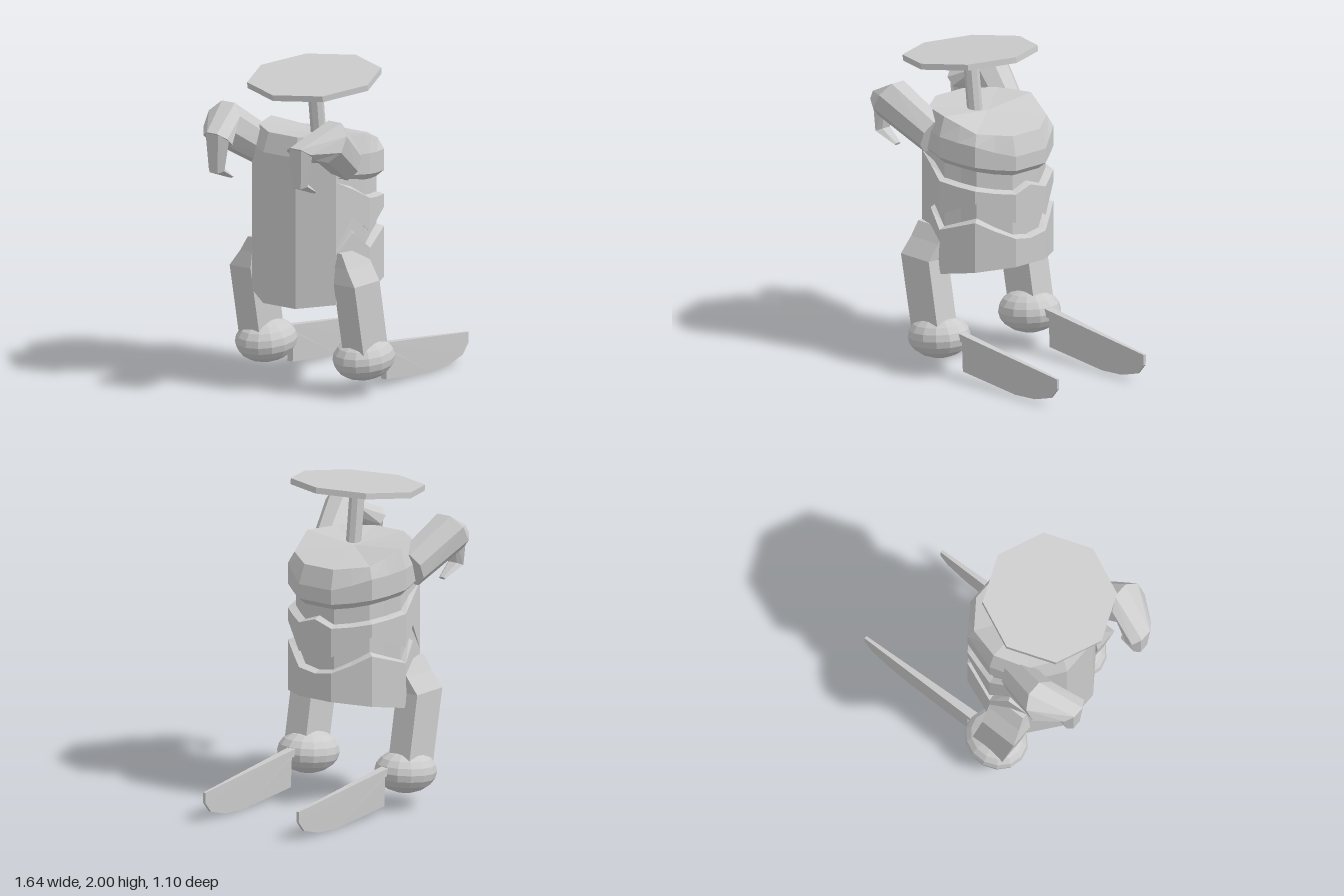
import * as THREE from 'three';

const material = new THREE.MeshStandardMaterial({ color: 0xcccccc, flatShading: true, side: THREE.DoubleSide });
const V = (x, y, z) => new THREE.Vector3(x, y, z);

// Closed skin through rings of equal point count, with capped ends
function loft(rings) {
  const pos = [];
  const tri = (...pts) => pts.forEach((p) => pos.push(p.x, p.y, p.z));
  const n = rings[0].length;
  const centre = (r) => r.reduce((a, p) => a.add(p), V(0, 0, 0)).divideScalar(n);
  const first = rings[0], last = rings[rings.length - 1];
  const c0 = centre(first), c1 = centre(last);
  for (let j = 0; j < n; j++) {
    const k = (j + 1) % n;
    for (let i = 0; i < rings.length - 1; i++) {
      const a = rings[i], b = rings[i + 1];
      tri(a[j], b[j], a[k]);
      tri(a[k], b[j], b[k]);
    }
    tri(c0, first[j], first[k]);
    tri(c1, last[k], last[j]);
  }
  const g = new THREE.BufferGeometry();
  g.setAttribute('position', new THREE.Float32BufferAttribute(pos, 3));
  g.computeVertexNormals();
  return g;
}

// Elliptical ring: centre, tilt in the xy plane (degrees), in-plane radius, z radius
function ring([x, y, z, tilt, ru, rv], n) {
  const a = THREE.MathUtils.degToRad(tilt);
  return Array.from({ length: n }, (_, j) => {
    const t = ((j + 0.5) / n) * Math.PI * 2;
    const u = Math.cos(t) * ru;
    return V(x + Math.cos(a) * u, y + Math.sin(a) * u, z + Math.sin(t) * rv);
  });
}

// Reflects a geometry across z and keeps its faces outward
function mirrorZ(geo) {
  const g = geo.index ? geo.toNonIndexed() : geo.clone();
  const p = g.attributes.position;
  const pts = Array.from({ length: p.count }, (_, i) => V(p.getX(i), p.getY(i), -p.getZ(i)));
  for (let i = 0; i < p.count; i++) {
    const q = pts[i - (i % 3) + [0, 2, 1][i % 3]];
    p.setXYZ(i, q.x, q.y, q.z);
  }
  g.computeVertexNormals();
  return g;
}

// Ten-sided torso; each row lists heights (and radii) from the front column round to the back
function torsoGeometry() {
  const at = (list, c) => list[Math.min(c, list.length - 1)];
  const belly = [0.86, 0.88, 0.93, 0.99, 0.95, 0.91, 1.02, 0.9];
  const ribLow = [1.06, 0.98, 1.045, 1.11, 1.06, 1.01, 1.12, 0.94];
  const ribHigh = [1.2, 1.16, 1.17, 1.19, 1.2, 1.22, 1.29, 1.35];
  const chestLow = [1.27, 1.27, 1.28, 1.3, 1.31, 1.33, 1.35, 1.375];
  const groove = [0.88, 0.88, 0.88, 0.88, 0.88, 0.9, 0.93, 1];
  const full = [1];
  const up = (list, d) => list.map((y) => y + d);
  const rows = [
    [null, full],
    [belly, full],
    [up(belly, 0.015), groove],
    [up(ribLow, 0.02), groove],
    [ribLow, full],
    [ribHigh, full],
    [up(ribHigh, 0.015), groove],
    [chestLow, groove],
    [[1.31, 1.31, 1.32, 1.34, 1.35, 1.37, 1.38, 1.39], full],
    [[1.4, 1.4, 1.43, 1.47, 1.48, 1.5], full],
    [[1.52, 1.52, 1.53, 1.54, 1.58, 1.62], [0.9]],
  ];
  return loft(rows.map(([ys, rs]) => Array.from({ length: 20 }, (_, j) => {
    const c = j <= 10 ? j : 20 - j;
    const r = 0.4 * at(rs, c) * (c % 2 ? 1 : Math.cos(Math.PI / 10));
    const t = (j * Math.PI) / 10;
    const x = -0.19 + r * Math.cos(t);
    return V(x, ys ? at(ys, c) : 0.56 + (x + 0.57) * 0.185, r * Math.sin(t));
  })));
}

// Leg: square sections leaning back, with a sloped outer shoulder at the top
function legGeometry() {
  const box = (y, x0, x1, z0, z1, tilt = 0) => [
    V(x1, y + tilt, z0), V(x1, y + tilt, z1), V(x0, y, z1), V(x0, y, z0)];
  return loft([
    box(0.25, -0.35, -0.11, 0.32, 0.48),
    box(0.72, -0.445, -0.2, 0.32, 0.48),
    box(0.82, -0.43, -0.19, 0.32, 0.41),
    box(0.91, -0.42, -0.19, 0.3, 0.36),
  ]);
}

// Blade foot: flat outline, thinning towards the tip and lower edge
function bladeGeometry() {
  const outline = [[-0.08, 0.29], [-0.08, 0.235], [-0.005, 0.235], [-0.005, 0.05], [0.45, 0.005],
    [0.62, 0.015], [0.76, 0.055], [0.815, 0.12], [0.815, 0.185]];
  const shape = new THREE.Shape(outline.map(([x, y]) => new THREE.Vector2(x, y)));
  const g = new THREE.ExtrudeGeometry(shape, { depth: 1, bevelEnabled: false }).translate(0, 0, -0.5);
  const p = g.attributes.position;
  for (let i = 0; i < p.count; i++) {
    const width = (0.058 - 0.045 * Math.max(0, p.getX(i))) * (0.6 + 1.4 * Math.min(p.getY(i), 0.285));
    p.setZ(i, 0.36 + p.getZ(i) * width);
  }
  g.computeVertexNormals();
  return g;
}

export function createModel() {
  const model = new THREE.Group();
  const add = (name, geo, parent = model) => {
    const mesh = new THREE.Mesh(geo, material);
    mesh.name = name;
    parent.add(mesh);
    return mesh;
  };

  add('torso', torsoGeometry());

  // Tilted octagonal disc on a thin post
  const head = new THREE.Group();
  head.name = 'head';
  head.position.set(-0.29, 1.935, 0.05);
  head.rotation.z = 0.115;
  model.add(head);
  add('headDisc', new THREE.CylinderGeometry(0.41, 0.41, 0.037, 8), head);
  add('neckPost', new THREE.CylinderGeometry(0.047, 0.047, 0.39, 8).translate(0, -0.2, 0), head);

  // Limbs on the +z side, then reflected
  const ball = new THREE.SphereGeometry(1, 14, 10).scale(0.203, 0.135, 0.182)
    .rotateZ(0.09).translate(-0.22, 0.23, 0.375);
  const limbs = {
    Arm: loft([
      [-0.32, 1.46, 0.32, 68, 0.12, 0.11],
      [-0.612, 1.655, 0.41, 60, 0.14, 0.13],
      [-0.765, 1.585, 0.32, 138, 0.085, 0.1],
    ].map((r) => ring(r, 8))),
    Claw: loft([
      [-0.768, 1.6, 0.32, 150, 0.07, 0.09],
      [-0.777, 1.4, 0.32, 205, 0.038, 0.06],
      [-0.645, 1.335, 0.32, 240, 0.01, 0.025],
    ].map((r) => ring(r, 6))),
    Leg: legGeometry(),
    Ankle: ball,
    BladeFoot: bladeGeometry(),
  };
  for (const [part, geo] of Object.entries(limbs)) {
    add('front' + part, geo);
    add('back' + part, mirrorZ(geo));
  }
  return model;
}
